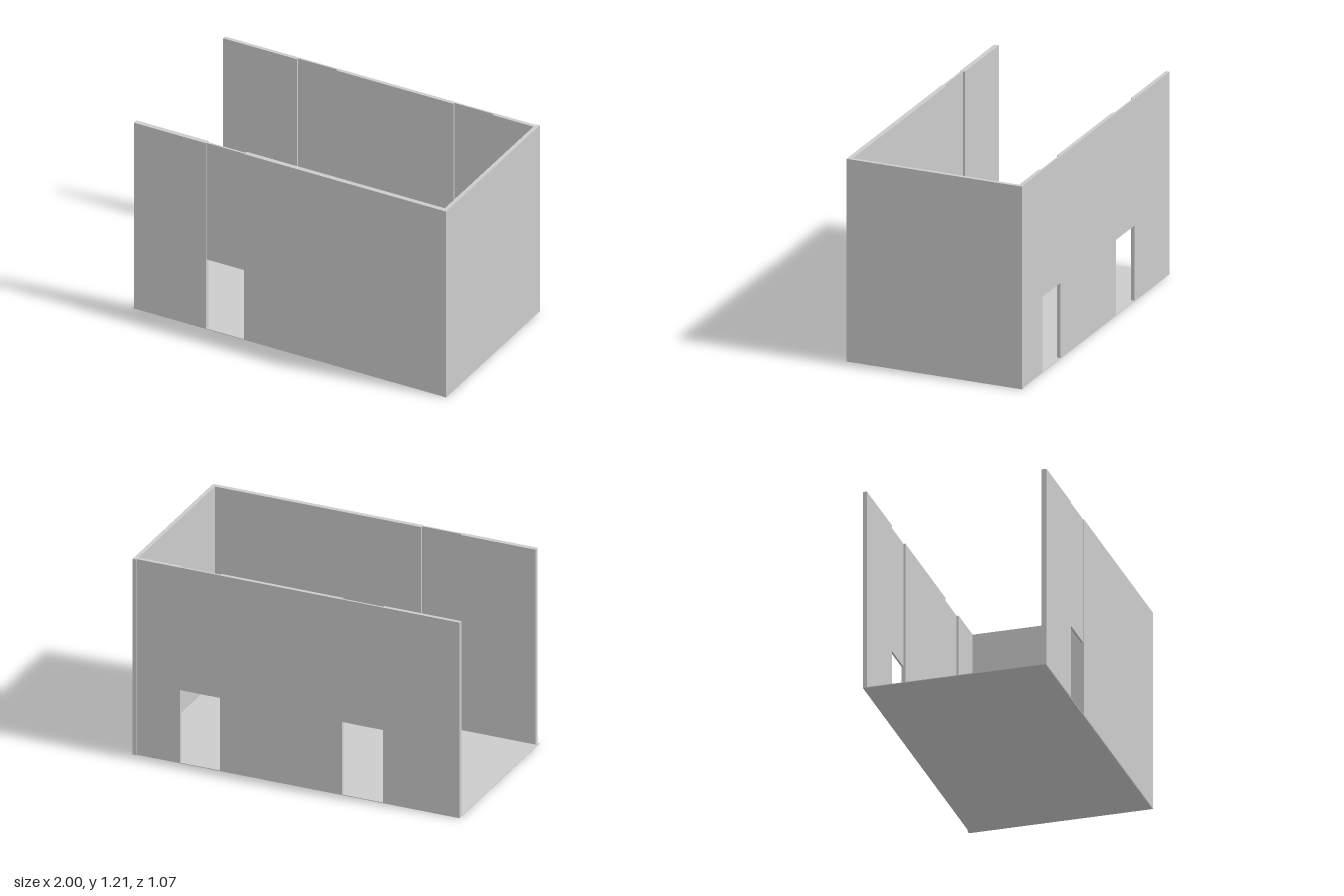
import * as THREE from 'three';

const H = 1.205;      // wall height
const DOOR_H = 0.45;  // doorway height
const FLOOR = 0.004;  // floor thickness

export function createModel() {
  const room = new THREE.Group();
  room.name = 'room';
  const material = new THREE.MeshStandardMaterial({ color: 0xcccccc, flatShading: true });

  // Box given by its limits along each axis
  function block(parent, name, [x0, x1], [y0, y1], [z0, z1]) {
    const mesh = new THREE.Mesh(new THREE.BoxGeometry(x1 - x0, y1 - y0, z1 - z0), material);
    mesh.position.set((x0 + x1) / 2, (y0 + y1) / 2, (z0 + z1) / 2);
    mesh.name = name;
    parent.add(mesh);
  }

  // Long wall split by doorways, each closed above by a thinner lintel
  function wallWithDoors(name, x0, x1, doors, z, lintelZ) {
    const wall = new THREE.Group();
    wall.name = name;
    let start = x0;
    for (const [d0, d1] of doors) {
      block(wall, 'wallPanel', [start, d0], [FLOOR, H], z);
      block(wall, 'doorLintel', [d0, d1], [DOOR_H, H], lintelZ);
      start = d1;
    }
    block(wall, 'wallPanel', [start, x1], [FLOOR, H], z);
    room.add(wall);
  }

  block(room, 'floor', [-1, 0.999], [0, FLOOR], [-0.531, 0.534]);

  wallWithDoors('frontWall', -0.988, 0.976, [[-0.53, -0.287]],
    [0.507, 0.536], [0.519, 0.531]);
  wallWithDoors('backWall', -1, 0.976, [[-0.53, -0.28], [0.467, 0.713]],
    [-0.531, -0.508], [-0.53, -0.519]);

  // Closed end; the opposite end stays open
  block(room, 'endWall', [0.976, 1], [0, H], [-0.537, 0.536]);

  return room;
}
